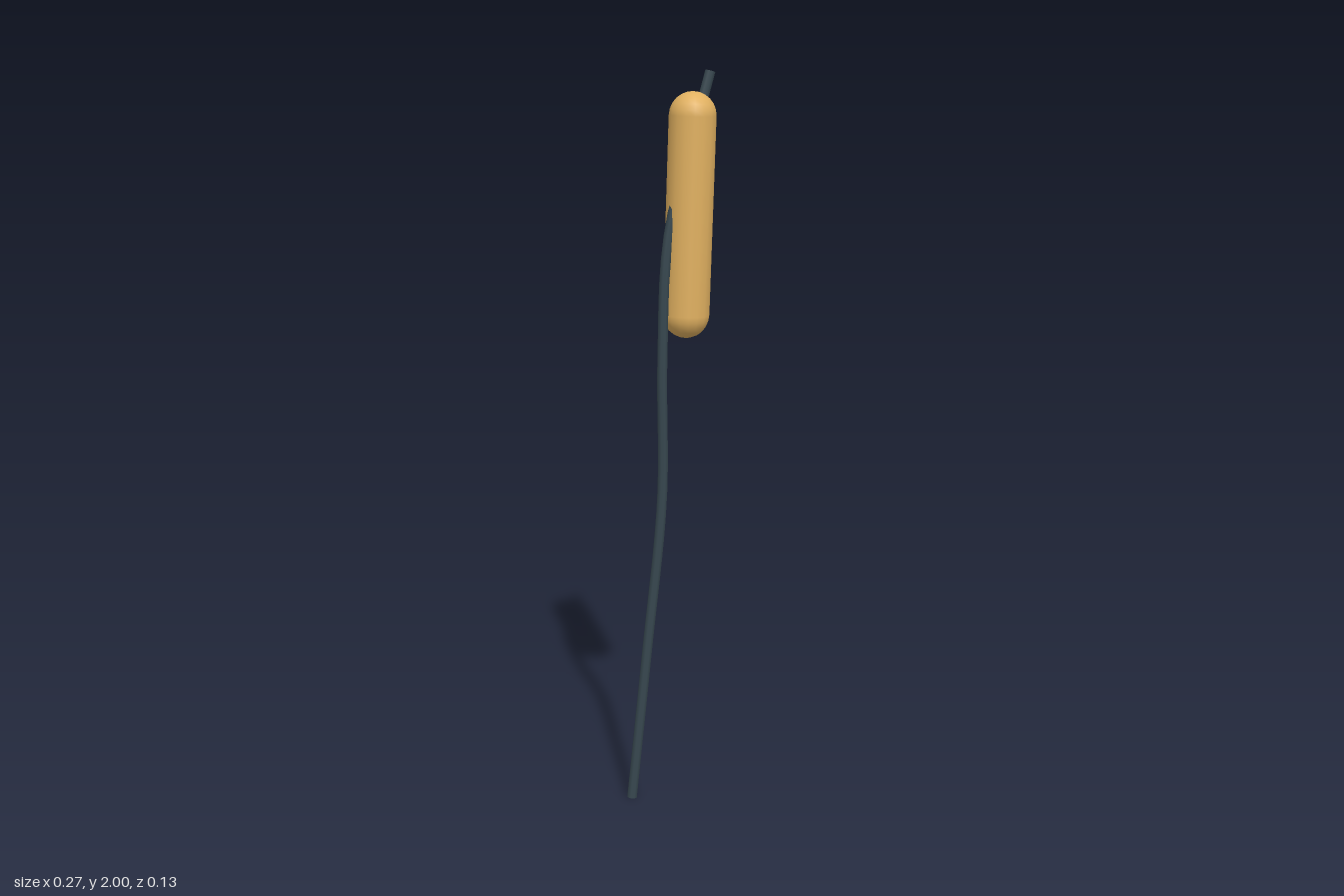
import * as THREE from 'three';

export function createModel() {
  const model = new THREE.Group();

  // Thin bent stem, open at both ends, running up through the head
  const path = new THREE.CatmullRomCurve3([
    [-0.124, 0.002, 0.011],
    [-0.075, 0.43, 0.011],
    [-0.028, 0.86, 0.011],
    [-0.026, 1.25, 0.01],
    [-0.003, 1.58, 0.005],
    [0.121, 1.995, 0],
  ].map(p => new THREE.Vector3(...p)));
  const stem = new THREE.Mesh(
    new THREE.TubeGeometry(path, 32, 0.014, 8, false),
    new THREE.MeshStandardMaterial({ color: 0x37474f, side: THREE.DoubleSide })
  );
  stem.name = 'stem';
  model.add(stem);

  // Rounded seed head, leaning slightly with the stem
  const head = new THREE.Mesh(
    new THREE.CapsuleGeometry(0.063, 0.524, 6, 16),
    new THREE.MeshStandardMaterial({ color: 0xe0b060 })
  );
  head.name = 'head';
  head.position.set(0.06, 1.62, 0);
  head.rotation.z = -0.035;
  model.add(head);

  return model;
}
